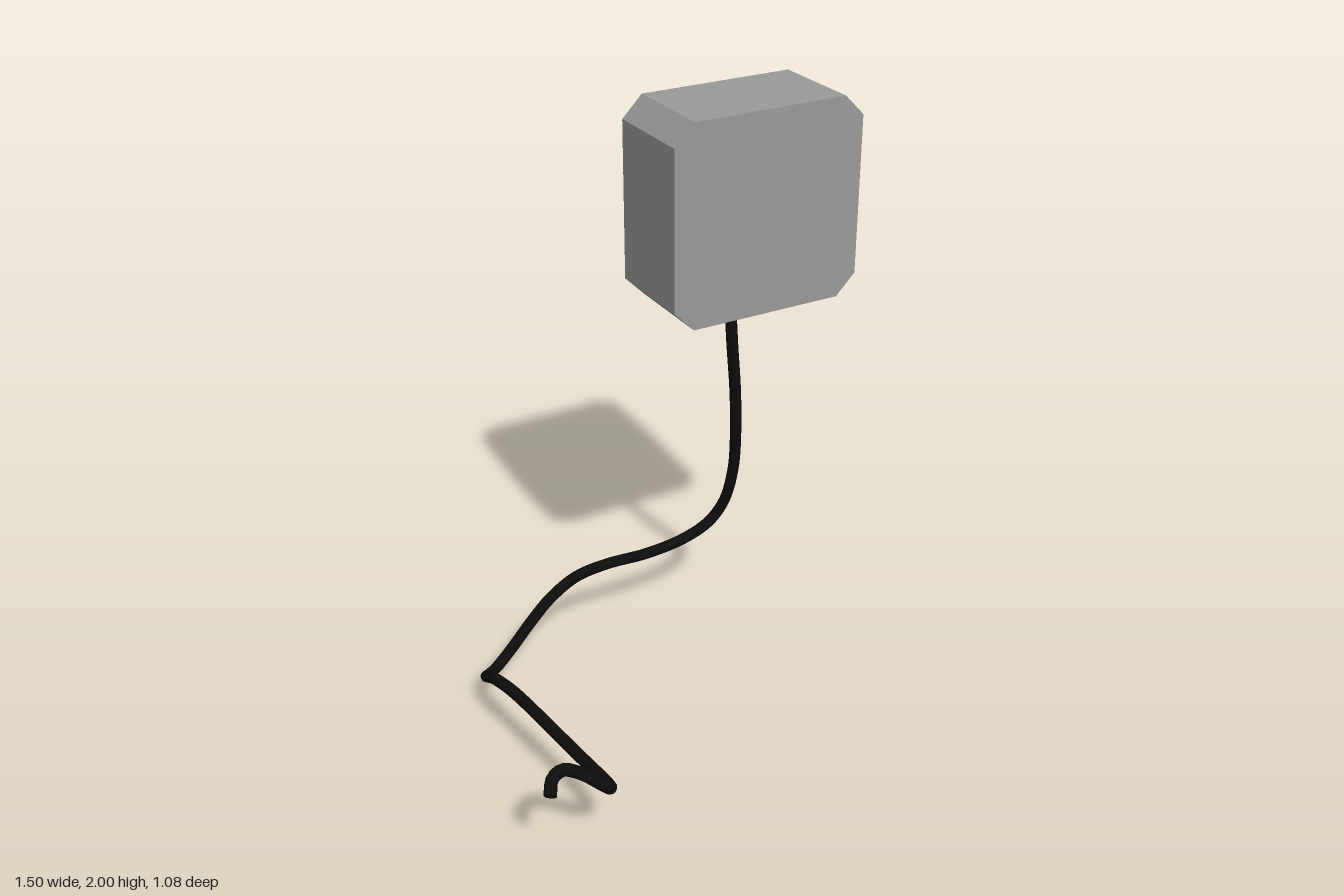
import * as THREE from 'three';

const CX = 0.41, CY = 1.6625;          // centre of the housing
const FRONT = -0.17, BACK = -0.5, RECESS = 0.02;

const paint = (color) => new THREE.MeshStandardMaterial({ color });

// Square outline with clipped corners
function housingShape() {
  const w = 0.34, h = 0.3375, c = 0.07;
  return new THREE.Shape([
    [-w, c - h], [c - w, -h], [w - c, -h], [w, c - h],
    [w, h - c], [w - c, h], [c - w, h], [-w, h - c],
  ].map(([x, y]) => new THREE.Vector2(CX + x, CY + y)));
}

function rectHole([x0, x1, y0, y1]) {
  return new THREE.Path([[x0, y0], [x0, y1], [x1, y1], [x1, y0]]
    .map(([x, y]) => new THREE.Vector2(x, y)));
}

export function createModel() {
  const group = new THREE.Group();
  const grey = paint(0x999999), light = paint(0xcccccc), black = paint(0x0d0d0d);

  const add = (name, geometry, material, parent = group) => {
    const mesh = new THREE.Mesh(geometry, material);
    mesh.name = name;
    parent.add(mesh);
    return mesh;
  };
  // Box given by its x and y limits, rising from the recess floor
  const panel = (name, [x0, x1, y0, y1], height, material, parent) => {
    const mesh = add(name, new THREE.BoxGeometry(x1 - x0, y1 - y0, height), material, parent);
    mesh.position.set((x0 + x1) / 2, (y0 + y1) / 2, BACK + RECESS - height / 2);
    return mesh;
  };

  // Openings in the back face
  const wide = [0.155, 0.66, 1.745, 1.907];
  const square = [0.41, 0.66, 1.405, 1.66];
  const keys = [0.155, 0.335, 1.405, 1.66];
  const slots = [];
  for (const sx of [-1, 1]) for (const sy of [-1, 1]) {
    const x = CX + sx * 0.23, y = CY + sy * 0.295;
    slots.push([x - 0.025, x + 0.025, y - 0.016, y + 0.016]);
  }

  // Housing: solid core and a pierced back plate
  const core = add('housing', new THREE.ExtrudeGeometry(housingShape(),
    { depth: FRONT - BACK - RECESS, bevelEnabled: false }), grey);
  core.position.z = BACK + RECESS;
  const plateShape = housingShape();
  plateShape.holes = [wide, square, keys, ...slots].map(rectHole);
  const plate = add('backPlate', new THREE.ExtrudeGeometry(plateShape,
    { depth: RECESS, bevelEnabled: false }), grey);
  plate.position.z = BACK;

  // Displays set into their openings
  panel('wideDisplay', wide, 0.004, light);
  panel('squareDisplay', square, 0.004, light);

  // Corner catches in the slots
  slots.forEach(([x0, x1, y0, y1]) =>
    panel('cornerCatch', [x0 + 0.012, x1 - 0.004, y0 + 0.006, y1 - 0.006], 0.014, grey));

  // Keypad
  const keypad = new THREE.Group();
  keypad.name = 'keypad';
  group.add(keypad);
  const cols = 3, rows = 5, gap = 0.007;
  const dx = (keys[1] - keys[0]) / cols, dy = (keys[3] - keys[2]) / rows;
  for (let i = 0; i < cols; i++) for (let j = 0; j < rows; j++) {
    const x = keys[0] + i * dx, y = keys[2] + j * dy;
    panel('key', [x + gap, x + dx - gap, y + gap, y + dy - gap], 0.016, grey, keypad);
  }

  // Tapered cable socket under the housing
  const socketGeometry = new THREE.CylinderGeometry(0.083 * Math.SQRT2, 0.066 * Math.SQRT2, 0.085, 4)
    .rotateY(Math.PI / 4).scale(1, 1, 0.72).toNonIndexed();
  socketGeometry.computeVertexNormals();
  add('cableSocket', socketGeometry, grey).position.set(CX, 1.2825, -0.395);

  // Cable
  const path = new THREE.CatmullRomCurve3([
    [0.41, 1.25, -0.392], [0.415, 1.12, -0.385], [0.432, 0.95, -0.39],
    [0.455, 0.76, -0.418], [0.473, 0.57, -0.463], [0.455, 0.43, -0.495],
    [0.4, 0.352, -0.51], [0.3, 0.305, -0.52], [0.15, 0.288, -0.522],
    [-0.02, 0.295, -0.522], [-0.14, 0.28, -0.522], [-0.24, 0.225, -0.522],
    [-0.32, 0.15, -0.522], [-0.4, 0.065, -0.52], [-0.47, 0.022, -0.498],
    [-0.53, 0.045, -0.44], [-0.565, 0.105, -0.36], [-0.58, 0.175, -0.25],
    [-0.57, 0.205, -0.12], [-0.545, 0.2, 0.05], [-0.52, 0.19, 0.23],
    [-0.51, 0.205, 0.4], [-0.522, 0.235, 0.485], [-0.56, 0.285, 0.52],
    [-0.62, 0.335, 0.492], [-0.67, 0.355, 0.472], [-0.71, 0.345, 0.483],
    [-0.735, 0.32, 0.52],
  ].map((p) => new THREE.Vector3(...p)));
  add('cable', new THREE.TubeGeometry(path, 200, 0.02, 12), black);

  // Closed cable end
  const end = add('cableEnd', new THREE.CircleGeometry(0.02, 12), black);
  end.position.copy(path.getPoint(1));
  end.lookAt(path.getPoint(1).add(path.getTangent(1)));

  return group;
}
